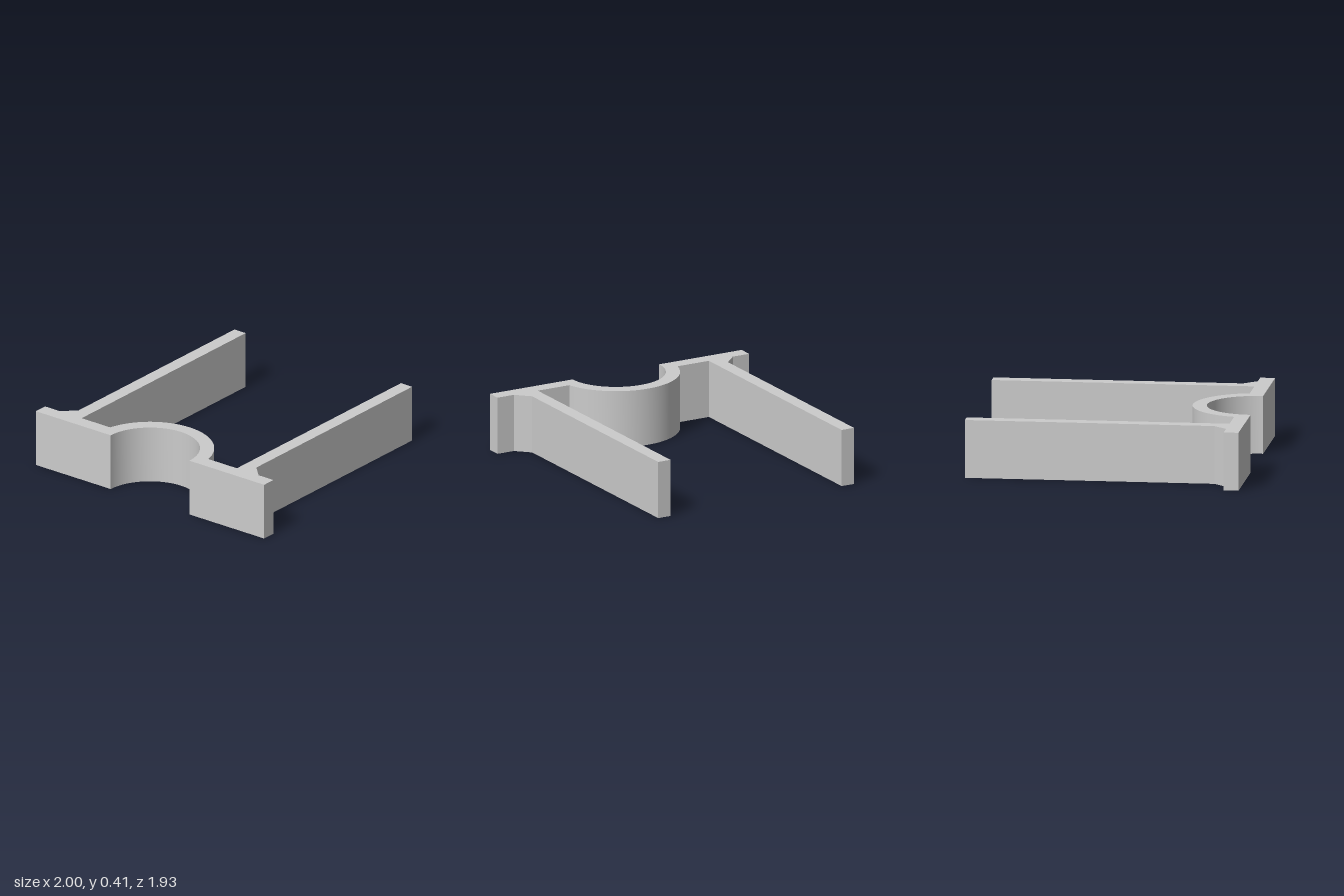
import * as THREE from 'three';
import { toCreasedNormals } from 'three/addons/utils/BufferGeometryUtils.js';

const HEIGHT = 0.405;
const END = 0.963;      // half depth
const PLATE = 0.86;     // rear face of the front plate
const INNER = 0.344, OUTER = 0.442; // saddle radii

export function createModel() {
  const group = new THREE.Group();
  const material = new THREE.MeshStandardMaterial({ color: 0xcccccc });

  // Plan outline drawn with shape y = -z
  const shape = new THREE.Shape();
  const a = Math.asin((END - PLATE) / OUTER);
  const side = [ // right half: plate end, gusset, arm, inner corner
    [1, -END], [1, -PLATE], [0.87, -PLATE], [0.778, -0.768],
    [0.778, END], [0.68, END], [0.68, -PLATE],
  ];

  // Front edge with the half-round recess
  shape.moveTo(-1, -END);
  shape.lineTo(-INNER, -END);
  shape.absarc(0, -END, INNER, Math.PI, 0, true);
  side.forEach(([x, y]) => shape.lineTo(x, y));
  // Outside of the saddle, then the mirrored half
  shape.absarc(0, -END, OUTER, a, Math.PI - a, false);
  side.slice(1).reverse().forEach(([x, y]) => shape.lineTo(-x, y));
  shape.closePath();

  let geometry = new THREE.ExtrudeGeometry(shape, {
    depth: HEIGHT, bevelEnabled: false, curveSegments: 48,
  });
  geometry.rotateX(-Math.PI / 2);
  geometry = toCreasedNormals(geometry, 0.4);

  const bracket = new THREE.Mesh(geometry, material);
  bracket.name = 'saddleBracket';
  group.add(bracket);
  return group;
}
